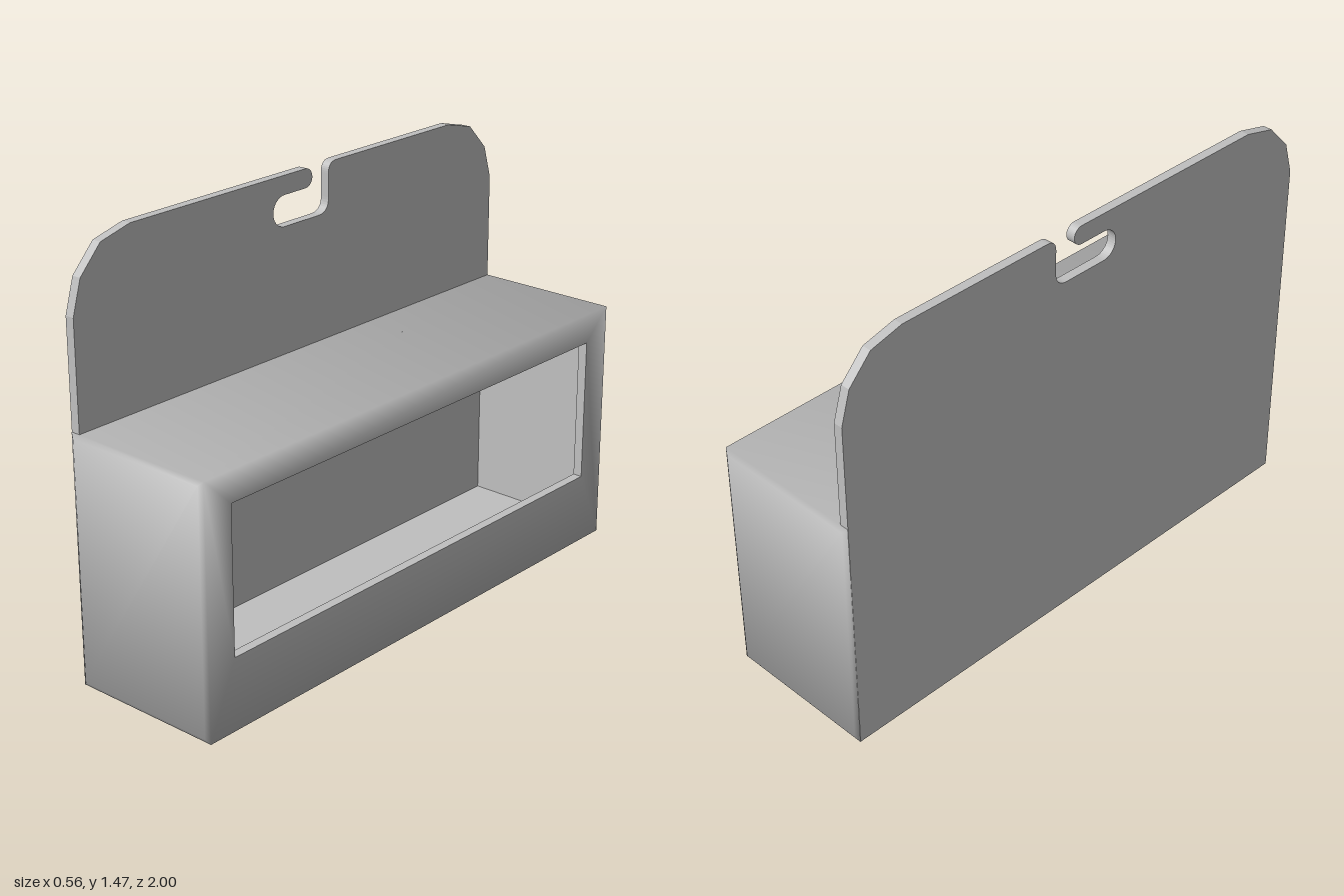
import * as THREE from 'three';

const X0 = -0.278, X1 = 0.278, TOP = 0.86, HALF = 0.99, WALL = 0.033;
const WIN = { y0: 0.25, y1: 0.755, z: 0.88 };

// Indexed geometry from points and four-cornered faces
function quadGeometry(points, quads) {
  const g = new THREE.BufferGeometry();
  g.setAttribute('position', new THREE.Float32BufferAttribute(points.flat(), 3));
  g.setIndex(quads.flatMap(([a, b, c, d]) => [a, b, c, a, c, d]));
  return g;
}

// Rectangle facing +x
const rectX = (x, y0, y1, z) => [[x, y0, z], [x, y0, -z], [x, y1, -z], [x, y1, z]];

// Outer body: rectangular rings along z with slightly stepped-in ends, softly shaded
function bodyGeometry() {
  const points = [], normals = [], quads = [];
  for (const [z, inset] of [[1, 0.016], [HALF, 0], [-HALF, 0], [-1, 0.016]]) {
    for (const [sx, sy] of [[-1, -1], [1, -1], [1, 1], [-1, 1]]) {
      points.push([sx < 0 ? X0 + inset : X1 - inset, sy < 0 ? inset : TOP - inset, z]);
      const n = inset ? [sx * 0.5, sy * 0.5, Math.sign(z)] : [sx * 0.7, sy * 0.7, Math.sign(z) * 0.25];
      normals.push(new THREE.Vector3(...n).normalize().toArray());
    }
  }
  for (let r = 0; r < 3; r++) {
    for (let k = 0; k < 4; k++) {
      if (r === 1 && (k === 1 || k === 3)) continue; // window side and back are built separately
      const a = r * 4 + k, b = r * 4 + (k + 1) % 4;
      quads.push([a, a + 4, b + 4, b]);
    }
  }
  quads.push([0, 1, 2, 3], [15, 14, 13, 12]);
  // Frame around the window
  const outer = [5, 9, 10, 6];
  for (const p of rectX(X1, WIN.y0, WIN.y1, WIN.z)) {
    points.push(p);
    normals.push([1, 0, 0]);
  }
  for (let k = 0; k < 4; k++) {
    const n = (k + 1) % 4;
    quads.push([outer[k], outer[n], 16 + n, 16 + k]);
  }
  const g = quadGeometry(points, quads);
  g.setAttribute('normal', new THREE.Float32BufferAttribute(normals.flat(), 3));
  return g;
}

// Hollow inside: window reveal, inner face of the frame, then the room
function interiorGeometry() {
  const room = [WALL, TOP - WALL, HALF - WALL];
  const points = [
    ...rectX(X1, WIN.y0, WIN.y1, WIN.z),
    ...rectX(X1 - WALL, WIN.y0, WIN.y1, WIN.z),
    ...rectX(X1 - WALL, ...room),
    ...rectX(X0 + WALL + 0.002, ...room),
  ];
  const quads = [[12, 13, 14, 15]];
  for (let r = 0; r < 3; r++) {
    for (let k = 0; k < 4; k++) {
      const a = r * 4 + k, b = r * 4 + (k + 1) % 4;
      quads.push([a, b, b + 4, a + 4]);
    }
  }
  const g = quadGeometry(points, quads).toNonIndexed();
  g.computeVertexNormals();
  return g;
}

// Back plate with faceted upper corners and a hooked hanging slot
function plateGeometry() {
  const w = HALF - 0.001, top = 1.465;
  const corner = [[w, 1.23], [0.955, 1.345], [0.87, 1.435], [0.75, top]];
  const s = new THREE.Shape();
  s.moveTo(-w, 0.001);
  s.lineTo(w, 0.001);
  corner.forEach(([u, y]) => s.lineTo(u, y));
  s.lineTo(0.17, top);
  s.quadraticCurveTo(0.13, top, 0.13, 1.425);
  s.lineTo(0.13, 1.345);
  s.quadraticCurveTo(0.13, 1.295, 0.08, 1.295);
  s.lineTo(-0.08, 1.295);
  s.absarc(-0.08, 1.3475, 0.0525, -Math.PI / 2, Math.PI / 2, true);
  s.lineTo(0.02, 1.4);
  s.absarc(0.02, 1.4325, 0.0325, -Math.PI / 2, Math.PI / 2, false);
  [...corner].reverse().forEach(([u, y]) => s.lineTo(-u, y));
  s.closePath();
  const g = new THREE.ExtrudeGeometry(s, { depth: WALL, bevelEnabled: false, curveSegments: 10 });
  return g.rotateY(Math.PI / 2).translate(X0, 0, 0);
}

export function createModel() {
  const grey = new THREE.MeshStandardMaterial({ color: 0xbfbfbf });
  grey.name = 'grey plastic';
  const group = new THREE.Group();
  group.name = 'hangingBox';
  const parts = { body: bodyGeometry(), interior: interiorGeometry(), backPlate: plateGeometry() };
  for (const [name, geometry] of Object.entries(parts)) {
    const mesh = new THREE.Mesh(geometry, grey);
    mesh.name = name;
    group.add(mesh);
  }
  return group;
}
